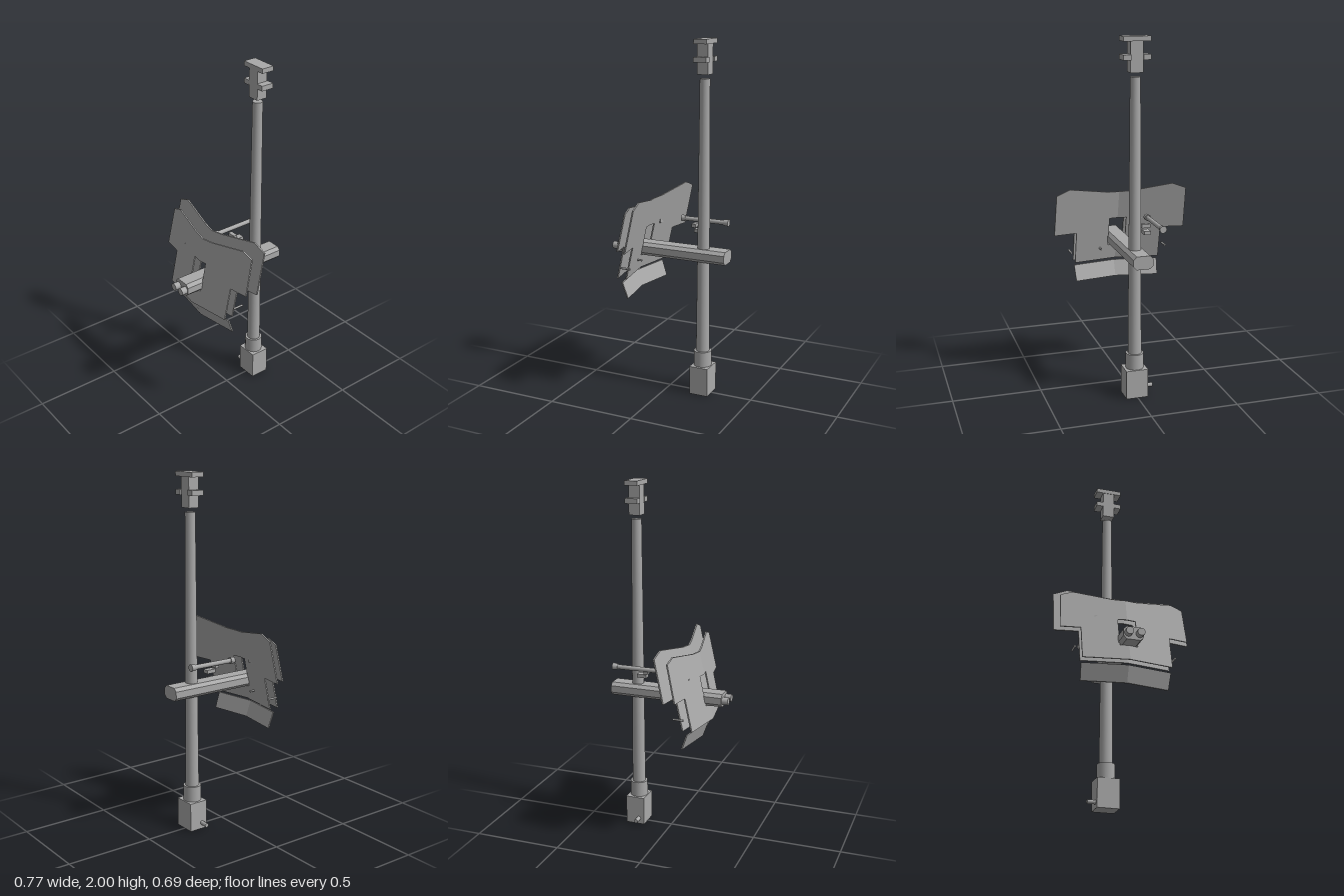
import * as THREE from 'three';

export function createModel() {
  const root = new THREE.Group();
  const steel = new THREE.MeshStandardMaterial({ color: 0xaaaaaa });
  steel.name = 'grey steel';

  const add = (name, geo, x = 0, y = 0, z = 0) => {
    const m = new THREE.Mesh(geo, steel);
    m.name = name;
    m.position.set(x, y, z);
    root.add(m);
    return m;
  };
  // box given by its limits
  const box = (name, x0, x1, y0, y1, z0, z1) =>
    add(name, new THREE.BoxGeometry(x1 - x0, y1 - y0, z1 - z0), (x0 + x1) / 2, (y0 + y1) / 2, (z0 + z1) / 2);
  // cylinder along z, from z0 (radius r0) to z1 (radius r1)
  const rodZ = (name, x, y, z0, z1, r0, r1 = r0, n = 16) =>
    add(name, new THREE.CylinderGeometry(r1, r0, z1 - z0, n).rotateX(Math.PI / 2), x, y, (z0 + z1) / 2);

  const px = 0.003, pz = -0.204;

  // base, collar and tapering pole
  box('baseBlock', -0.06, 0.066, 0, 0.165, -0.26, -0.15);
  add('baseCollar', new THREE.CylinderGeometry(0.05, 0.05, 0.09, 20), px, 0.208, pz);
  add('pole', new THREE.CylinderGeometry(0.028, 0.038, 1.54, 20), px, 1.02, pz);
  add('baseHandle', new THREE.CylinderGeometry(0.012, 0.012, 0.05, 12).rotateZ(Math.PI / 2), -0.083, 0.035, -0.183);

  // bracket on top
  box('topStem', -0.031, 0.038, 1.812, 1.98, -0.235, -0.172);
  box('topBar', -0.071, 0.08, 1.974, 2, -0.243, -0.169);
  for (const [a, b] of [[-0.071, -0.03], [0.037, 0.08]]) box('topArm', a, b, 1.878, 1.906, -0.243, -0.169);

  // chamfered body
  const w = 0.056, h = 0.037, c = 0.018;
  const section = new THREE.Shape([[-w, -h + c], [-w + c, -h], [w - c, -h], [w, -h + c], [w, h - c], [w - c, h], [-w + c, h], [-w, h - c]]
    .map(([x, y]) => new THREE.Vector2(x, y)));
  add('body', new THREE.ExtrudeGeometry(section, { depth: 0.658, bevelEnabled: false }), -0.001, 0.817, -0.347);
  for (const x of [-0.032, 0.031]) rodZ('muzzle', x, 0.815, 0.305, 0.346, 0.021, 0.021, 20);

  // sight and its stepped mount
  rodZ('sightTube', -0.127, 0.978, -0.28, -0.03, 0.013);
  rodZ('sightEyepiece', -0.127, 0.978, -0.3, -0.27, 0.02, 0.016);
  rodZ('sightLens', -0.127, 0.978, -0.037, -0.012, 0.018);
  box('sightMountUpper', -0.113, -0.063, 0.945, 0.966, -0.124, -0.1);
  box('sightMountLower', -0.1, -0.063, 0.918, 0.938, -0.17, -0.115);

  // one flat half plate, leaned back by lean and swept back by 0.16 to the side
  const plate = (name, pts, yTop, zTop, lean) => {
    for (const s of [1, -1]) {
      const shape = new THREE.Shape(pts.map(([x, y]) => new THREE.Vector2(s * x, y)));
      const geo = new THREE.ExtrudeGeometry(shape, { depth: 0.008, bevelEnabled: false });
      const p = geo.attributes.position;
      for (let i = 0; i < p.count; i++)
        p.setZ(i, p.getZ(i) - 0.008 + zTop - 0.16 * Math.abs(p.getX(i)) + lean * (yTop - p.getY(i)));
      geo.computeVertexNormals();
      add(name, geo);
    }
  };
  // lower edge and central opening shared by both shield layers
  const lower = [[0.25, 0.88], [0.25, 0.693], [0, 0.693], [0, 0.78], [0.05, 0.78], [0.05, 0.947], [0, 0.947]];
  plate('rearShield', [[0, 1.108], [0.07, 1.112], [0.3, 1.15], [0.378, 1.12], [0.383, 0.88], ...lower], 1.11, 0.106, 0.22);
  plate('frontShield', [[0, 1.075], [0.07, 1.078], [0.285, 1.113], [0.352, 1.09], [0.36, 0.88], ...lower], 1.075, 0.166, 0.22);
  plate('shieldSkirt', [[0, 0.672], [0.25, 0.672], [0.245, 0.583], [0, 0.583]], 0.672, 0.222, -0.36);

  // spacer between the layers and small pegs
  box('shieldSpacer', -0.175, -0.1, 0.94, 0.965, 0.113, 0.165);
  for (const s of [1, -1]) {
    rodZ('sidePeg', s * 0.281, 0.766, 0.11, 0.17, 0.006, 0.006, 8);
    rodZ('rearPeg', s * 0.1, 0.766, 0.13, 0.21, 0.006, 0.006, 8);
  }
  return root;
}
